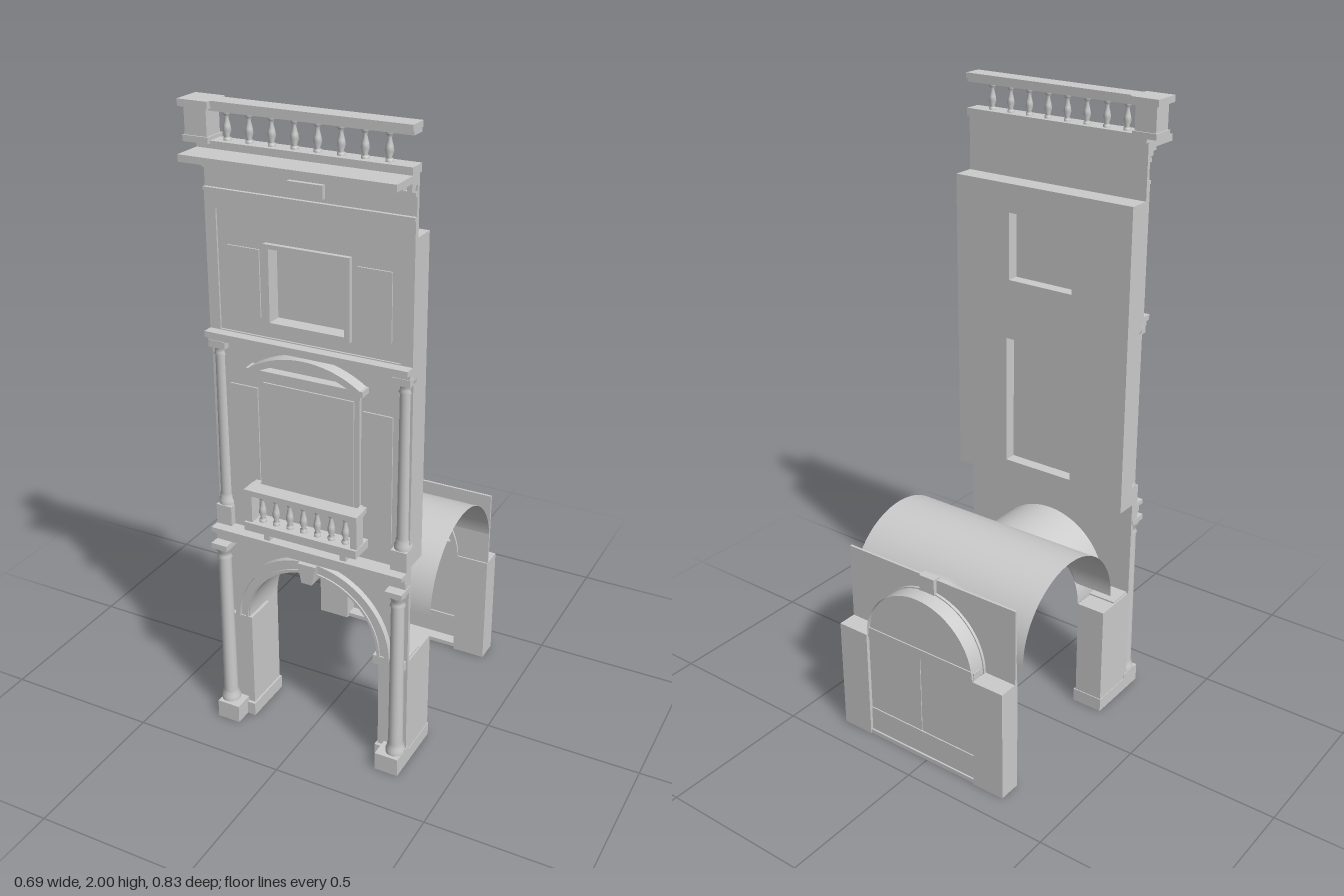
import * as THREE from 'three';

export function createModel() {
  const root = new THREE.Group();
  const mat = new THREE.MeshStandardMaterial({ color: 0xcccccc });
  const thin = new THREE.MeshStandardMaterial({ color: 0xcccccc, side: THREE.DoubleSide });
  const CX = 0.021, SPRING = 0.38, L = -0.3, R = 0.341;

  const add = (name, geo, m = mat) => {
    const mesh = new THREE.Mesh(geo, m);
    mesh.name = name;
    root.add(mesh);
    return mesh;
  };
  const box = (name, x0, x1, y0, y1, z0, z1) =>
    add(name, new THREE.BoxGeometry(x1 - x0, y1 - y0, z1 - z0)
      .translate((x0 + x1) / 2, (y0 + y1) / 2, (z0 + z1) / 2));
  // the same box on both sides of the bay axis; d0..d1 is the distance from the axis
  const pair = (name, d0, d1, ...yz) => {
    box(name, CX + d0, CX + d1, ...yz);
    box(name, CX - d1, CX - d0, ...yz);
  };
  const rect = (S, x0, x1, y0, y1) => {
    const s = new S();
    s.moveTo(x0, y0); s.lineTo(x1, y0); s.lineTo(x1, y1); s.lineTo(x0, y1); s.closePath();
    return s;
  };
  const extrude = (name, shape, z0, z1) =>
    add(name, new THREE.ExtrudeGeometry(shape, { depth: z1 - z0, bevelEnabled: false, curveSegments: 28 })
      .translate(0, 0, z0));
  const frame = (name, o, i, z0, z1) => {
    const s = rect(THREE.Shape, ...o);
    s.holes.push(rect(THREE.Path, ...i));
    extrude(name, s, z0, z1);
  };
  // band between two arcs, by default a half ring
  const ring = (name, cy, r0, r1, z0, z1, a = 0) => {
    const s = new THREE.Shape();
    s.absarc(CX, cy, r1, a, Math.PI - a, false);
    s.absarc(CX, cy, r0, Math.PI - a, a, true);
    s.closePath();
    extrude(name, s, z0, z1);
  };
  // wall with a semicircular notch standing on the springing line
  const archWall = (name, r, top, z0, z1) => {
    const s = new THREE.Shape();
    s.moveTo(L, SPRING); s.lineTo(L, top); s.lineTo(R, top); s.lineTo(R, SPRING);
    s.lineTo(CX + r, SPRING);
    s.absarc(CX, SPRING, r, 0, Math.PI, false);
    s.closePath();
    extrude(name, s, z0, z1);
  };
  const soffit = (name, r, z0, z1) =>
    add(name, new THREE.CylinderGeometry(r, r, z1 - z0, 32, 1, true, Math.PI / 2, Math.PI)
      .rotateX(Math.PI / 2).translate(CX, SPRING, (z0 + z1) / 2), thin);
  const lathe = (name, pts, x, y, z, seg = 16) =>
    add(name, new THREE.LatheGeometry(pts.map(p => new THREE.Vector2(...p)), seg).translate(x, y, z), thin);
  const baluster = (x, y, z, h) => lathe('baluster',
    [[.011, 0], [.011, .1], [.006, .14], [.012, .35], [.010, .5], [.005, .75], [.009, .86], [.011, .9], [.011, 1]]
      .map(([r, t]) => [r, t * h]), x, y, z, 10);
  const column = (x, z, y0, y1, r) => lathe('column',
    [[r * 1.3, y0], [r * 1.3, y0 + .015], [r * 1.1, y0 + .02], [r * 1.15, y0 + .03], [r, y0 + .035],
      [r * .88, y1 - .045], [r * 1.05, y1 - .042], [r * .88, y1 - .035], [r * .9, y1 - .022], [r * 1.25, y1 - .01], [r * 1.25, y1]],
    x, 0, z, 20);

  // ground floor: piers, columns and front arch
  pair('frontPier', .223, .32, 0, SPRING, .13, .29);
  pair('pierPlinth', .217, .322, 0, .045, .127, .3);
  pair('columnPlinth', .245, .322, 0, .06, .275, .355);
  pair('impost', .212, .315, .355, .385, .2, .307);
  soffit('frontArchSoffit', .222, .13, .285);
  archWall('frontArchWall', .222, .715, .28, .292);
  ring('archivolt', SPRING, .222, .268, .285, .303);
  ring('archivoltEdge', SPRING, .252, .268, .3, .312);
  ring('archivoltBead', SPRING, .226, .234, .3, .308);
  const key = new THREE.Shape([[-.018, .585], [.018, .585], [.03, .65], [-.03, .65]]
    .map(([x, y]) => new THREE.Vector2(CX + x, y)));
  extrude('keystone', key, .285, .33);
  for (const s of [-1, 1]) {
    column(CX + s * .296, .315, .06, .635, .023);
    column(CX + s * .296, .283, .77, 1.305, .021);
  }
  pair('capitalBlock', .268, .322, .632, .65, .285, .348);
  box('architrave', L, R, .65, .672, .28, .315);
  box('frieze', L, R, .672, .69, .28, .325);
  box('cornice', L, R, .69, .705, .28, .345);

  // upper wall with two window openings
  const slab = rect(THREE.Shape, L, R, .71, 1.7);
  slab.holes.push(rect(THREE.Path, -.105, .147, .77, 1.2), rect(THREE.Path, -.096, .138, 1.395, 1.61));
  extrude('upperWall', slab, .21, .292);
  box('lowerWindowPane', -.105, .147, .77, 1.2, .25, .258);
  box('upperWindowPane', -.096, .138, 1.395, 1.61, .25, .258);
  frame('lowerWindowFrame', [-.142, .184, .77, 1.225], [-.105, .147, .76, 1.19], .285, .302);
  frame('lowerWindowBead', [-.125, .167, .77, 1.208], [-.112, .154, .76, 1.195], .3, .307);
  frame('upperWindowFrame', [-.112, .154, 1.38, 1.623], [-.096, .138, 1.395, 1.61], .285, .306);
  pair('columnPedestal', .268, .32, .705, .77, .28, .313);
  pair('lowerSidePanel', .17, .262, .78, 1.18, .285, .297);
  pair('upperSidePanel', .152, .255, 1.4, 1.6, .285, .297);
  frame('upperPanelFrame', [L, R, 1.34, 1.75], [-.265, .305, 1.345, 1.7], .285, .298);

  // curved window pediment
  box('pedimentFrieze', -.15, .192, 1.222, 1.238, .285, .315);
  box('pedimentCornice', -.165, .207, 1.238, 1.256, .285, .332);
  ring('pedimentArch', .99, .3, .32, .285, .332, Math.acos(.186 / .32));
  ring('pedimentField', .99, .255, .302, .285, .302, Math.acos(.178 / .302));

  // string course over the second storey
  pair('upperCapital', .266, .32, 1.288, 1.31, .28, .313);
  box('stringCourseLower', L, R, 1.312, 1.325, .285, .315);
  box('stringCourse', L, R, 1.325, 1.342, .285, .33);

  // balcony
  box('balconyFloor', -.165, .207, .745, .772, .285, .37);
  pair('balconyBracket', .118, .138, .708, .745, .285, .34);
  box('balconyRail', -.165, .207, .862, .88, .315, .367);
  pair('balconyPost', .163, .184, .77, .864, .32, .362);
  pair('balconySideRail', .163, .184, .862, .88, .29, .32);
  for (let i = 0; i < 7; i++) baluster(CX + (i - 3) * .046, .772, .341, .09);

  // top frieze, dentils and main cornice
  box('topWall', L, R, 1.7, 1.87, .28, .292);
  box('topLedge', L, R, 1.748, 1.758, .285, .303);
  box('friezeBlock', -.033, .075, 1.77, 1.808, .285, .305);
  box('dentilBand', L, R, 1.812, 1.824, .285, .302);
  for (let i = 0; i < 26; i++) box('dentil', L + .004 + i * .0247, L + .018 + i * .0247, 1.826, 1.842, .285, .315);
  box('corniceBed', L, R, 1.842, 1.852, .285, .325);
  box('mainCornice', L, R, 1.852, 1.872, .28, .414);
  box('corniceCap', L, R, 1.87, 1.893, .268, .322);

  // roof balustrade
  box('roofRailLower', -.26, R, 1.972, 1.985, .272, .318);
  box('roofRail', -.26, R, 1.983, 2, .265, .325);
  for (let i = 0; i < 8; i++) baluster(-.218 + i * .0687, 1.892, .295, .082);
  box('roofPost', -.332, -.262, 1.895, 1.985, .263, .328);
  box('roofPostBase', -.337, -.257, 1.885, 1.903, .258, .333);
  box('roofPostCap', -.344, -.25, 1.98, 2, .25, .34);

  // vault across the passage, opened by the cross arches at front and back
  const nx = 72, nz = 64, pos = [], idx = [];
  for (let j = 0; j <= nz; j++) {
    const a = Math.PI * j / nz, z = -.108 - .238 * Math.cos(a), barrel = .455 + .235 * Math.sin(a);
    for (let i = 0; i <= nx; i++) {
      const x = -.324 + .665 * i / nx, d = .222 ** 2 - (x - CX) ** 2;
      pos.push(x, Math.max(barrel, d > 0 ? SPRING + Math.sqrt(d) : 0), z);
      if (i < nx && j < nz) {
        const p = j * (nx + 1) + i, q = p + nx + 1;
        idx.push(p, q, p + 1, p + 1, q, q + 1);
      }
    }
  }
  const vault = new THREE.BufferGeometry();
  vault.setAttribute('position', new THREE.Float32BufferAttribute(pos, 3));
  vault.setIndex(idx);
  vault.computeVertexNormals();
  add('passageVault', vault, thin);

  // rear wall, arch and gate
  pair('rearPier', .21, .32, 0, SPRING, -.414, -.338);
  soffit('rearArchSoffit', .208, -.414, -.345);
  archWall('rearArchWall', .208, .635, -.351, -.343);
  ring('rearArchTrim', SPRING, .192, .212, -.36, -.336);
  box('rearKeystone', CX - .028, CX + .028, .57, .64, -.364, -.335);
  const lunette = new THREE.Shape();
  lunette.absarc(CX, SPRING, .206, 0, Math.PI, false);
  extrude('lunette', lunette, -.402, -.394);
  box('gateTransom', CX - .21, CX + .21, .37, .405, -.406, -.375);
  pair('gateLeaf', .003, .211, .1, .375, -.402, -.392);
  box('gateBack', CX - .21, CX + .21, .01, .375, -.399, -.395);
  box('gateBottomPanel', CX - .21, CX + .21, .012, .098, -.404, -.389);
  box('threshold', CX - .21, CX + .21, 0, .014, -.41, -.35);

  return root;
}
